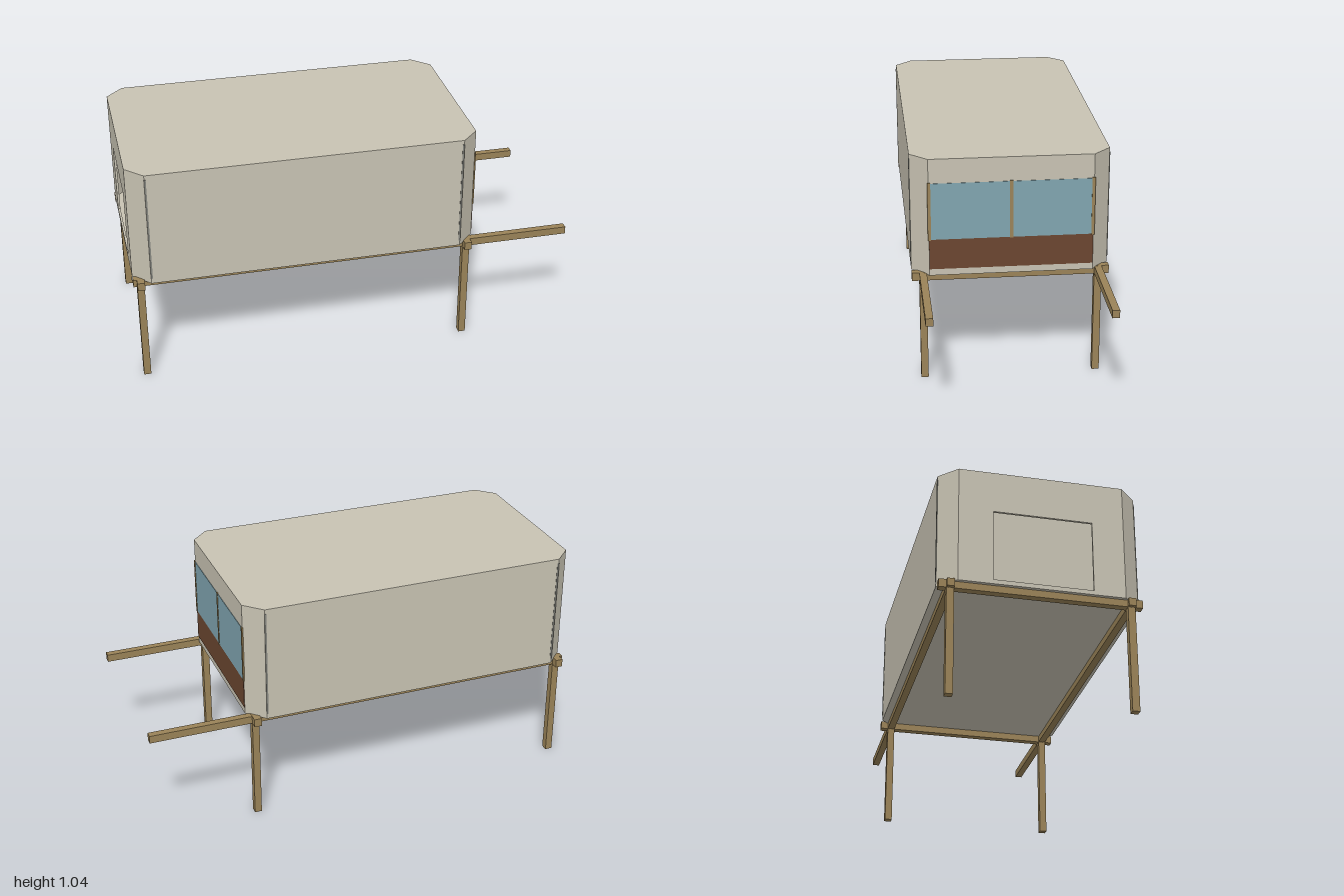
import * as THREE from 'three';

const mat = (name, color) => {
  const m = new THREE.MeshStandardMaterial({ color });
  m.name = name;
  return m;
};

export function createModel() {
  const beige = mat('beige panel', 0xc8c3b3);
  const wood = mat('wood', 0x9a8358);
  const blue = mat('blue glass', 0x80a5b0);
  const brown = mat('brown panel', 0x6b4630);
  const grey = mat('grey seam', 0x85867f);

  const model = new THREE.Group();
  model.name = 'raisedCabin';
  const add = (name, geometry, material, x = 0, y = 0, z = 0) => {
    const mesh = new THREE.Mesh(geometry, material);
    mesh.name = name;
    mesh.position.set(x, y, z);
    model.add(mesh);
    return mesh;
  };
  // Box given by its lower and upper corners
  const box = (name, material, [x0, y0, z0], [x1, y1, z1]) =>
    add(name, new THREE.BoxGeometry(x1 - x0, y1 - y0, z1 - z0), material,
      (x0 + x1) / 2, (y0 + y1) / 2, (z0 + z1) / 2);
  // Floor plan extruded upwards
  const slab = (name, points, y0, y1) => {
    const shape = new THREE.Shape(points.map(([x, z]) => new THREE.Vector2(x, z)));
    const g = new THREE.ExtrudeGeometry(shape, { depth: y1 - y0, bevelEnabled: false });
    return add(name, g.rotateX(-Math.PI / 2), beige, 0, y0, 0);
  };
  // Octagonal plan with cut corners, starting and ending on the entrance side
  const plan = (inset) => {
    const a = -1 + inset, b = 0.555 - inset, w = 0.435 - inset, c = 0.077 - inset * 0.58;
    return [[a, -w + c], [a + c, -w], [b - c, -w], [b, -w + c],
      [b, w - c], [b - c, w], [a + c, w], [a, w - c]];
  };

  // Cabin shell
  const t = 0.01, bottom = 0.505, top = 1.04;
  slab('floor', plan(0), bottom, bottom + t);
  slab('roof', plan(0), top - t, top);
  slab('walls', [...plan(0), ...plan(t).reverse()], bottom + t, top - t);

  // Entrance wall with its doorway
  const wall = new THREE.Shape([[-0.358, bottom + t], [0.358, bottom + t], [0.358, top - t], [-0.358, top - t]]
    .map((p) => new THREE.Vector2(...p)));
  wall.holes.push(new THREE.Path([[-0.21, 0.525], [-0.21, 0.85], [0.22, 0.85], [0.22, 0.525]]
    .map((p) => new THREE.Vector2(...p))));
  const wallGeometry = new THREE.ExtrudeGeometry(wall, { depth: t, bevelEnabled: false });
  add('entranceWall', wallGeometry.rotateY(-Math.PI / 2), beige, -1 + t, 0, 0);
  box('partition', beige, [-0.72, bottom + t, -0.424], [-0.71, top - t, 0.424]);

  // Window end: glass, lower panel and mullions
  box('windowGlass', blue, [0.554, 0.673, -0.358], [0.557, 0.93, 0.358]);
  box('lowerPanel', brown, [0.554, 0.535, -0.358], [0.557, 0.673, 0.358]);
  for (const z of [-0.356, 0, 0.356])
    box('mullion', wood, [0.553, 0.67, z - 0.007], [0.559, 0.934, z + 0.007]);

  for (const s of [-1, 1]) {
    // Seams beside the cut corners
    for (const x of [-0.92, 0.475])
      add('cornerSeam', new THREE.BoxGeometry(0.008, 0.49, 0.016), grey, x, 0.775, s * 0.429);

    // Long carrying rails and legs
    const z = s * 0.386;
    box('longRail', wood, [-1, 0.475, z - 0.016], [1, 0.51, z + 0.016]);
    for (const x of [-0.968, 0.52])
      box('leg', wood, [x - 0.016, 0, z - 0.0162], [x + 0.016, 0.509, z + 0.0162]);
  }

  // Cross beams under both ends
  for (const x of [-0.968, 0.52])
    box('crossBeam', wood, [x - 0.0165, 0.474, -0.435], [x + 0.0165, 0.511, 0.435]);

  return model;
}
